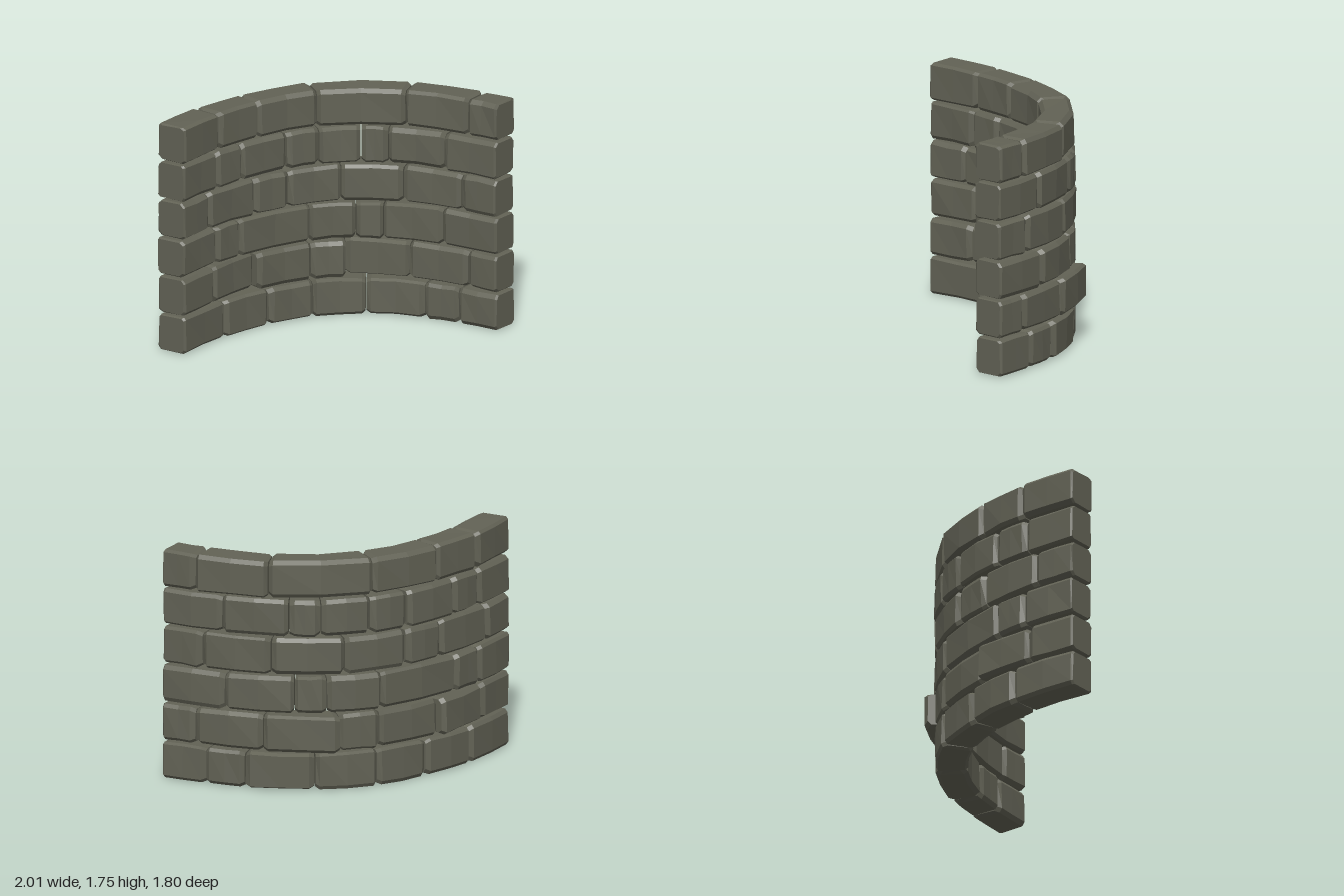
import * as THREE from 'three';

// Plan of the wall's centre line (x, z), from the back left end round to the front right end
const PATH = [
  [-1, -0.77], [-0.55, -0.765], [-0.13, -0.685], [0.24, -0.54], [0.48, -0.36],
  [0.63, -0.18], [0.77, 0.09], [0.84, 0.36], [0.872, 0.62], [0.875, 0.9],
];
const LENGTH = 2.935;
const HALF_THICK = 0.122;
const COURSE = 0.293;

// Joint positions along the wall for each course, bottom to top
const JOINTS = [
  [0.53, 0.98, 1.39, 1.82, 2.30, 2.59],
  [0.40, 0.87, 1.37, 1.66, 2.17, 2.67],
  [0.43, 0.70, 1.36, 1.74, 1.96, 2.45],
  [0.33, 0.84, 1.16, 1.62, 2.12, 2.62],
  [0.42, 0.71, 1.15, 1.44, 1.78, 2.00, 2.47],
  [0.46, 0.87, 1.42, 2.14, 2.67],
];

// Stones that stick out of the wall: outward shift at their start and end
const PUSH = { '1,1': [0, 0.05], '1,4': [0.08, 0.02] };

function makeRandom(seed) {
  return () => {
    seed = (seed * 1664525 + 1013904223) % 4294967296;
    return seed / 4294967296;
  };
}

export function createModel() {
  const wall = new THREE.Group();
  wall.name = 'curvedStoneWall';
  const stone = new THREE.MeshStandardMaterial({ color: 0x626255, flatShading: true });
  stone.name = 'greyStone';

  const curve = new THREE.CatmullRomCurve3(PATH.map(([x, z]) => new THREE.Vector3(x, 0, z)));
  curve.arcLengthDivisions = 400;
  const rand = makeRandom(17);
  const range = (a, b) => a + (b - a) * rand();

  // One chamfered stone, lofted along the wall from s0 to s1
  function stoneGeometry(s0, s1, yMid, push) {
    const first = s0 === 0, last = s1 === LENGTH;
    const a = first ? 0 : s0 + 0.004, b = last ? LENGTH : s1 - 0.004;
    const bevelA = first ? 0.014 : range(0.02, 0.04);
    const bevelB = last ? 0.014 : range(0.02, 0.04);
    const stations = [a, a + bevelA, (a + b) / 2, b - bevelB, b];
    const insets = [first ? 0.012 : 0.025, 0, 0, 0, last ? 0.012 : 0.025];

    // Corners of the section, each cut by its own chamfer
    const corners = [[1, -1], [1, 1], [-1, 1], [-1, -1]].map(([u, v]) => ({
      u, v, cu: range(0.014, 0.035), cv: range(0.014, 0.032),
    }));

    const rings = stations.map((s, i) => {
      const t = s / LENGTH;
      const p = curve.getPointAt(t);
      const d = curve.getTangentAt(t);
      const f = (s - a) / (b - a);
      const shift = push[0] + (push[1] - push[0]) * f;
      const ring = [];
      for (const { u, v, cu, cv } of corners) {
        const hu = HALF_THICK - insets[i] + range(-0.006, 0.006);
        const hv = 0.141 - insets[i] * 0.6 - range(0, 0.008);
        const cuts = [[hu, hv - cv], [hu - cu, hv]];
        if (u * v > 0) { /* side point comes first */ } else cuts.reverse();
        for (const [cx, cy] of cuts) {
          const off = u * cx + shift;
          ring.push([p.x + d.z * off, yMid + v * cy, p.z - d.x * off]);
        }
      }
      return ring;
    });

    const pos = [];
    const tri = (...pts) => pts.forEach((q) => pos.push(...q));
    for (let i = 0; i < rings.length - 1; i++) {
      for (let j = 0; j < 8; j++) {
        const k = (j + 1) % 8;
        tri(rings[i][j], rings[i][k], rings[i + 1][k]);
        tri(rings[i][j], rings[i + 1][k], rings[i + 1][j]);
      }
    }
    // End faces
    const start = rings[0], end = rings[rings.length - 1];
    for (let j = 1; j < 7; j++) {
      tri(start[0], start[j + 1], start[j]);
      tri(end[0], end[j], end[j + 1]);
    }
    const geometry = new THREE.BufferGeometry();
    geometry.setAttribute('position', new THREE.Float32BufferAttribute(pos, 3));
    geometry.computeVertexNormals();
    return geometry;
  }

  // Six courses of stones with staggered joints
  JOINTS.forEach((joints, row) => {
    const course = new THREE.Group();
    course.name = `course${row + 1}`;
    const stops = [0, ...joints, LENGTH];
    for (let i = 0; i < stops.length - 1; i++) {
      const push = PUSH[`${row},${i}`] || [range(-0.008, 0.008), range(-0.008, 0.008)];
      const yMid = 0.147 + row * COURSE;
      const mesh = new THREE.Mesh(stoneGeometry(stops[i], stops[i + 1], yMid, push), stone);
      mesh.name = `stone${row + 1}_${i + 1}`;
      course.add(mesh);
    }
    wall.add(course);
  });
  return wall;
}
